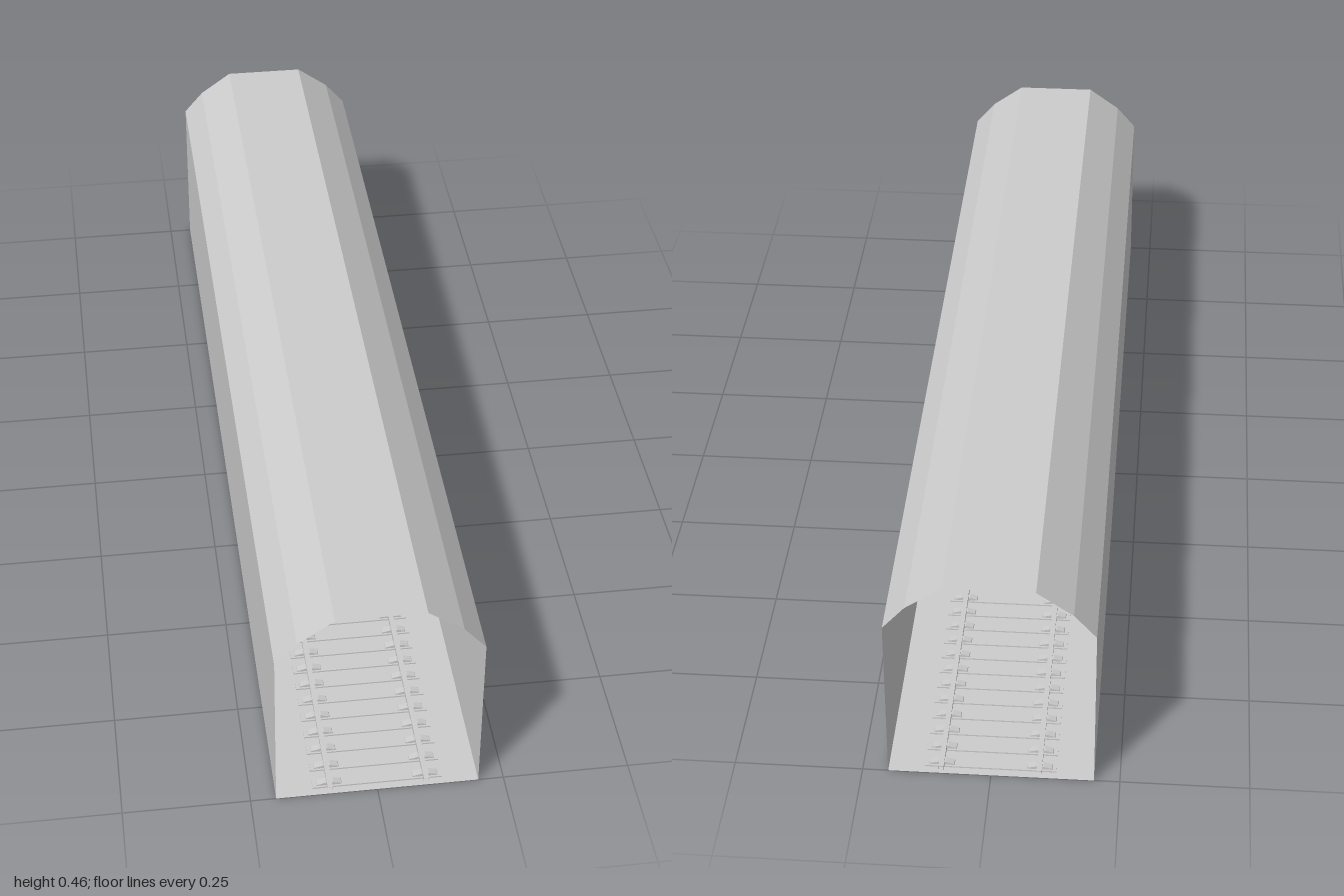
import * as THREE from 'three';

const LENGTH = 2;
const TIES = 44;
const TRACK_X = 0.0015;
const GAUGE = 0.095;

const sheetMat = new THREE.MeshStandardMaterial({ color: 0xcccccc, flatShading: true, side: THREE.DoubleSide });
const solidMat = new THREE.MeshStandardMaterial({ color: 0xcccccc, flatShading: true });

// Open sheet swept along z from a cross-section of [x, y] points
function sweep(name, points) {
  const pos = [];
  const h = LENGTH / 2;
  for (let i = 0; i < points.length - 1; i++) {
    const [ax, ay] = points[i];
    const [bx, by] = points[i + 1];
    pos.push(ax, ay, h, bx, by, -h, bx, by, h);
    pos.push(ax, ay, h, ax, ay, -h, bx, by, -h);
  }
  const geo = new THREE.BufferGeometry();
  geo.setAttribute('position', new THREE.Float32BufferAttribute(pos, 3));
  geo.computeVertexNormals();
  const mesh = new THREE.Mesh(geo, sheetMat);
  mesh.name = name;
  return mesh;
}

export function createModel() {
  const group = new THREE.Group();
  group.name = 'railwayTunnel';

  // Tunnel shell: floor, side walls and faceted roof, open at both ends
  group.add(sweep('floor', [[0.2, 0], [-0.2, 0]]));
  group.add(sweep('leftWall', [[0.2, 0.36], [0.2, 0]]));
  group.add(sweep('rightWall', [[-0.2, 0], [-0.2, 0.36]]));
  group.add(sweep('roof', [
    [-0.2, 0.36], [-0.157, 0.41], [-0.087, 0.46],
    [0.087, 0.46], [0.157, 0.41], [0.2, 0.36],
  ]));

  // Track
  const track = new THREE.Group();
  track.name = 'track';
  track.position.x = TRACK_X;
  group.add(track);

  // Rails: slim open-ended channels
  for (const side of [-1, 1]) {
    const x = side * GAUGE;
    track.add(sweep(side > 0 ? 'leftRail' : 'rightRail', [
      [x - 0.005, 0.008], [x - 0.005, 0.018], [x + 0.005, 0.018], [x + 0.005, 0.008],
    ]));
  }

  // Sleepers, each with a low sloped rail fastening on either side
  const tieGeo = new THREE.BoxGeometry(0.256, 0.003, 0.022);
  const shape = new THREE.Shape([
    [-0.025, 0.007], [0.025, 0.007], [0.024, 0.01], [0.008, 0.014], [-0.008, 0.014], [-0.024, 0.01],
  ].map(([x, y]) => new THREE.Vector2(x, y)));
  const clipGeo = new THREE.ExtrudeGeometry(shape, { depth: 0.014, bevelEnabled: false });
  clipGeo.translate(0, 0, -0.007);

  for (let i = 0; i < TIES; i++) {
    const z = -LENGTH / 2 + (i + 0.5) * LENGTH / TIES;
    const tie = new THREE.Mesh(tieGeo, solidMat);
    tie.name = 'sleeper';
    tie.position.set(0, 0.0062, z);
    track.add(tie);
    for (const side of [-1, 1]) {
      const clip = new THREE.Mesh(clipGeo, solidMat);
      clip.name = 'railFastening';
      clip.position.set(side * GAUGE, 0, z);
      track.add(clip);
    }
  }
  return group;
}
